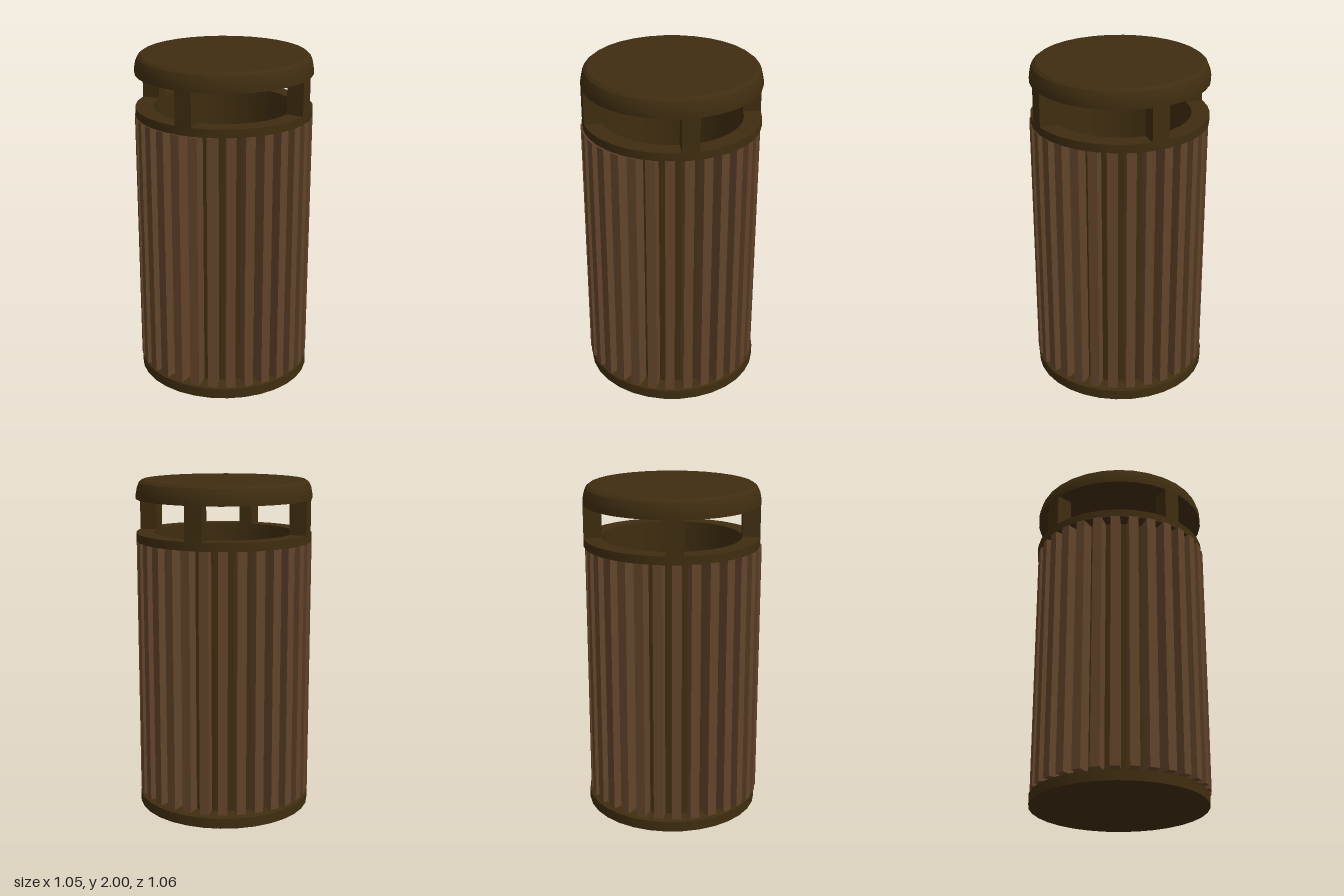
import * as THREE from 'three';
import { toCreasedNormals } from 'three/addons/utils/BufferGeometryUtils.js';

const SIDES = 32;
const OUTER = 0.525;
const INNER = 0.42;
const WALL = 0.44;

export function createModel() {
  const metal = new THREE.MeshStandardMaterial({ color: 0x3f2d10 });
  metal.name = 'olive brown metal';
  const wood = new THREE.MeshStandardMaterial({ color: 0x62442a });
  wood.name = 'brown wood';

  const model = new THREE.Group();
  model.name = 'litterBin';
  const shell = new THREE.Group();
  shell.name = 'shell';
  shell.position.z = -0.005;
  model.add(shell);

  const add = (parent, name, geometry, material) => {
    const mesh = new THREE.Mesh(geometry, material);
    mesh.name = name;
    parent.add(mesh);
    return mesh;
  };
  const turned = (name, profile) => {
    const points = profile.map(([r, y]) => new THREE.Vector2(r, y));
    add(shell, name, toCreasedNormals(new THREE.LatheGeometry(points, SIDES), 0.4), metal);
  };

  // Base with a gently sloping top
  turned('base', [[0, 0], [OUTER, 0], [OUTER, 0.062], [WALL, 0.078], [0, 0.078]]);
  // Hollow inner container
  turned('container', [[WALL, 0.07], [WALL, 1.65]]);
  turned('containerLining', [[INNER, 1.65], [INNER, 0.1], [0, 0.1]]);
  // Ring below the openings
  turned('rim', [[INNER, 1.64], [OUTER, 1.64], [OUTER, 1.69], [INNER, 1.69], [INNER, 1.64]]);
  // Lid with a rounded edge
  turned('lid', [[0, 1.89], [OUTER, 1.89], [OUTER, 1.92], [0.518, 1.957], [0.506, 1.985], [0.487, 2], [0, 2]]);

  // Four posts, each one facet wide, starting on the axes
  const a = (Math.PI * 2) / SIDES;
  const corner = (r, t) => new THREE.Vector2(r * Math.sin(t), -r * Math.cos(t));
  const section = new THREE.Shape([corner(OUTER, 0), corner(OUTER, a), corner(INNER, a), corner(INNER, 0)]);
  const postGeometry = new THREE.ExtrudeGeometry(section, { depth: 0.2, bevelEnabled: false });
  postGeometry.rotateX(-Math.PI / 2);
  for (let i = 0; i < 4; i++) {
    const post = add(shell, 'post', postGeometry, metal);
    post.position.y = 1.69;
    post.rotation.y = (i * Math.PI) / 2;
  }

  // Ring of upright slats
  const slats = new THREE.Group();
  slats.name = 'slats';
  slats.position.set(0.003, 0, 0.004);
  model.add(slats);
  const slatGeometry = new THREE.BoxGeometry(0.055, 1.56, 0.095);
  slatGeometry.translate(0, 0.86, 0.4775);
  for (let i = 0; i < 30; i++) {
    add(slats, 'slat', slatGeometry, wood).rotation.y = (i * Math.PI) / 15;
  }

  return model;
}
